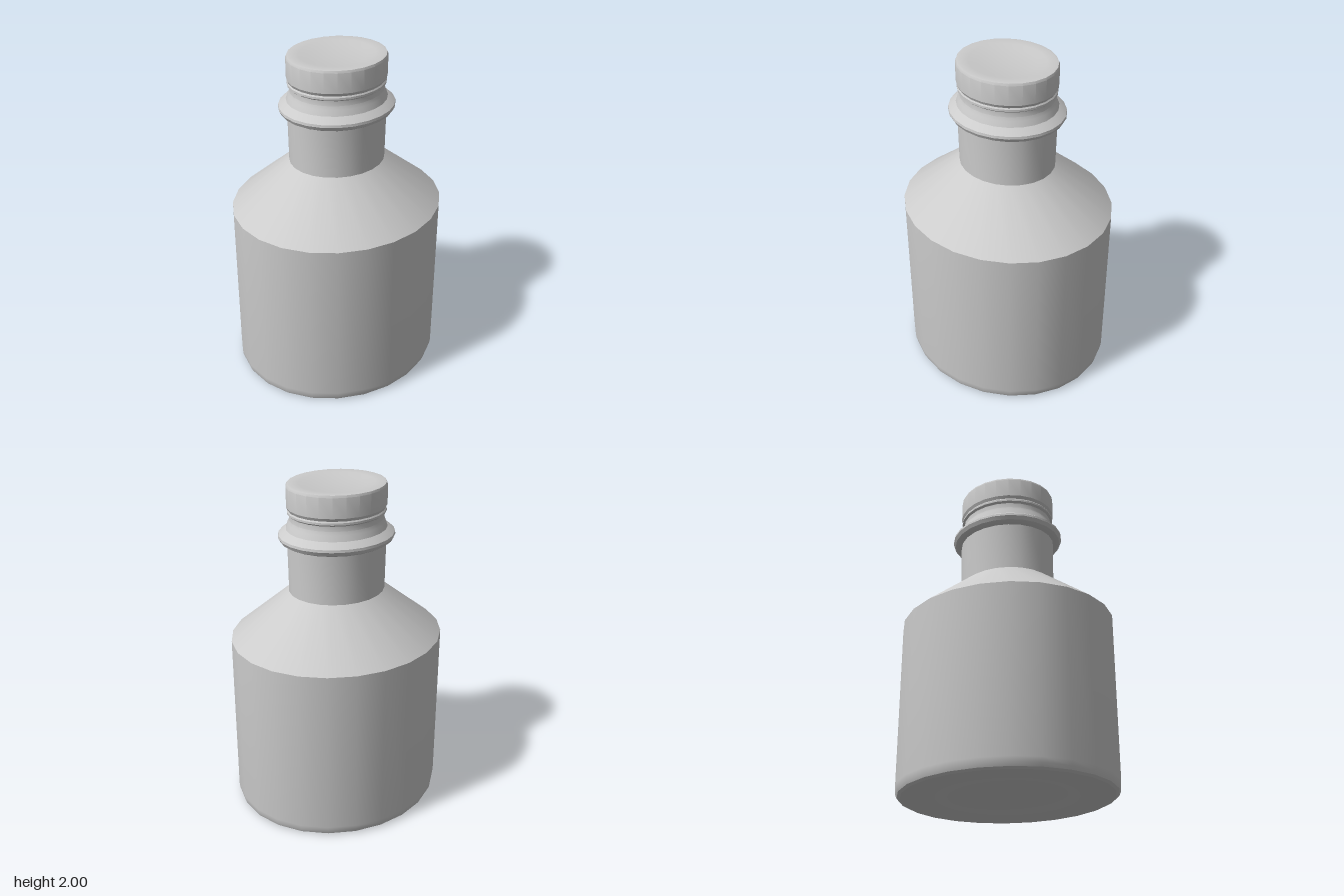
import * as THREE from 'three';
import { toCreasedNormals } from 'three/addons/utils/BufferGeometryUtils.js';

const SIDES = 24;
const DEPTH = 0.917; // the bottle is slightly oval: z radius / x radius

export function createModel() {
  const bottle = new THREE.Group();
  bottle.name = 'bottle';
  const material = new THREE.MeshStandardMaterial({ color: 0xcccccc, side: THREE.DoubleSide });

  // Turns a [radius, height] profile, listed bottom to top, into an oval part
  function turned(name, profile) {
    const points = profile.map(([r, y]) => new THREE.Vector2(r, y));
    const geometry = new THREE.LatheGeometry(points, SIDES);
    geometry.scale(1, 1, DEPTH);
    const mesh = new THREE.Mesh(toCreasedNormals(geometry, Math.PI / 7), material);
    mesh.name = name;
    bottle.add(mesh);
  }

  // Body with a shallow dished base, rounded foot and straight wall
  turned('body', [
    [0, 0.03], [0.25, 0.027], [0.4, 0.012], [0.46, 0.003], [0.63, 0],
    [0.648, 0.01], [0.657, 0.03], [0.661, 0.06], [0.661, 1.07],
  ]);

  // Conical shoulder
  turned('shoulder', [[0.661, 1.07], [0.297, 1.355]]);

  // Straight neck
  turned('neck', [[0.297, 1.355], [0.302, 1.655]]);

  // Flared ring around the neck, with the groove above it
  turned('collar', [
    [0.302, 1.655], [0.325, 1.658], [0.343, 1.668], [0.356, 1.69], [0.354, 1.705],
    [0.335, 1.72], [0.308, 1.737], [0.296, 1.77], [0.287, 1.79], [0.287, 1.82],
  ]);

  // Stopper with a small lower lip and slightly dished top
  turned('stopper', [
    [0.287, 1.82], [0.3, 1.83], [0.3, 1.842], [0.294, 1.85], [0.304, 1.868],
    [0.304, 1.985], [0.298, 1.998], [0.285, 2], [0.23, 1.997], [0.18, 1.988], [0, 1.986],
  ]);

  return bottle;
}
